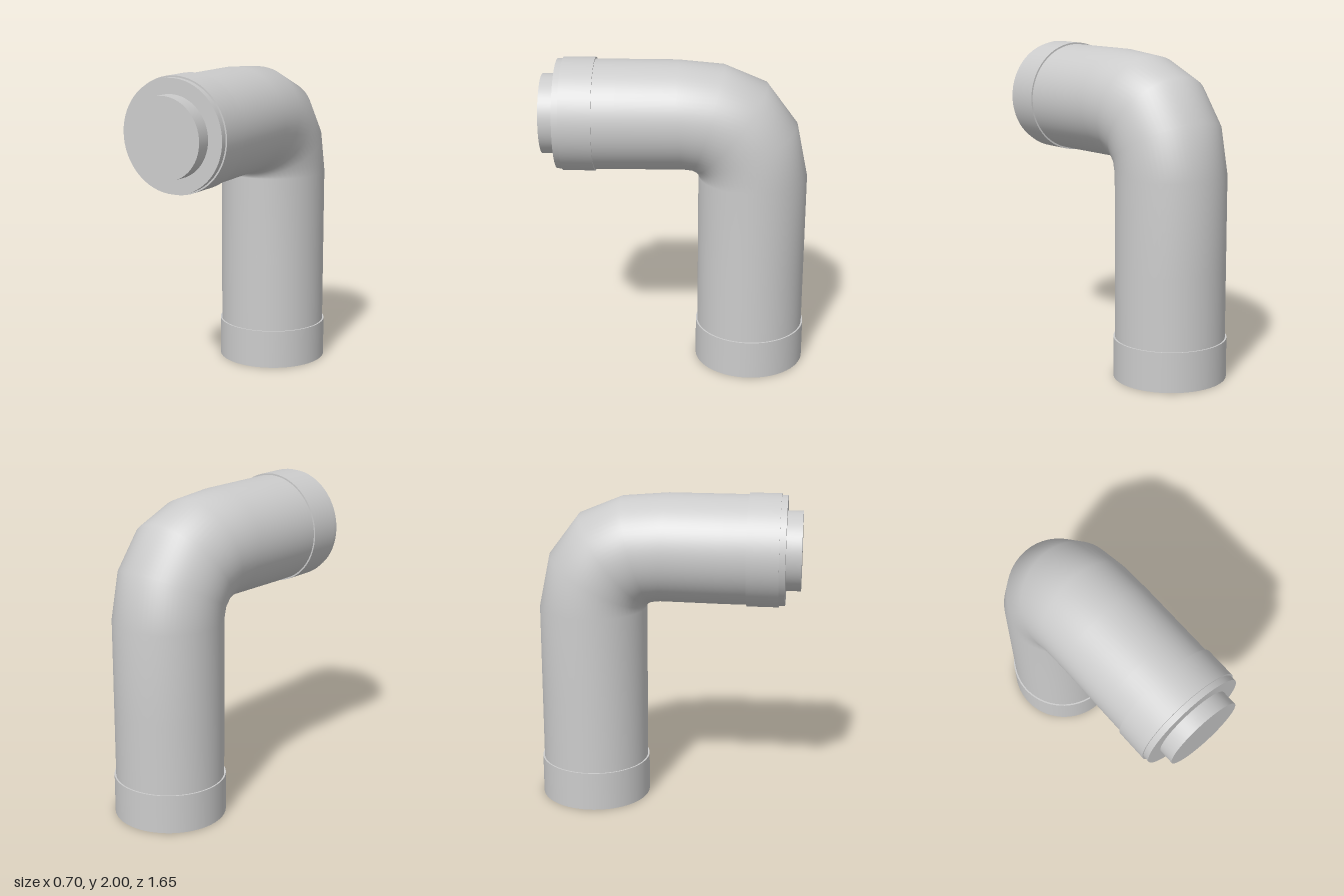
import * as THREE from 'three';

const RADIUS = 0.34, SIDES = 64, AXIS_Y = 1.65, LEG_Z = -0.475;

// Sweep elliptical rings; each ring is [outer z, outer y, inner z, inner y]
function sweptPipe(rings) {
  const positions = [], indices = [];
  rings.forEach(([oz, oy, iz, iy], i) => {
    for (let j = 0; j < SIDES; j++) {
      const a = (j / SIDES) * Math.PI * 2, c = Math.cos(a) / 2;
      positions.push(RADIUS * Math.sin(a), (oy + iy) / 2 + (oy - iy) * c, (oz + iz) / 2 + (oz - iz) * c);
      if (i === rings.length - 1) continue;
      const k = (j + 1) % SIDES, p = i * SIDES, q = p + SIDES;
      indices.push(p + j, p + k, q + j, p + k, q + k, q + j);
    }
  });
  const geometry = new THREE.BufferGeometry();
  geometry.setAttribute('position', new THREE.Float32BufferAttribute(positions, 3));
  geometry.setIndex(indices);
  geometry.computeVertexNormals();
  return geometry;
}

export function createModel() {
  const model = new THREE.Group();
  const material = new THREE.MeshStandardMaterial({ color: 0xcccccc });
  const add = (name, geometry) => {
    const mesh = new THREE.Mesh(geometry, material);
    mesh.name = name;
    model.add(mesh);
    return mesh;
  };
  // Closed cylinder along the horizontal arm, from z0 to z1
  const armCylinder = (name, radius, z0, z1) => {
    const geometry = new THREE.CylinderGeometry(radius, radius, z1 - z0, SIDES).rotateX(Math.PI / 2);
    add(name, geometry).position.set(0, AXIS_Y, (z0 + z1) / 2);
  };

  // Elbow pipe: horizontal arm, coarse bend with a tight inner corner, vertical leg
  add('elbowPipe', sweptPipe([
    [0.735, 1.99, 0.735, 1.31],
    [0.36, 1.99, 0.36, 1.31],
    [0, 1.99, -0.04, 1.315],
    [-0.29, 1.965, -0.095, 1.308],
    [-0.555, 1.855, -0.118, 1.295],
    [-0.745, 1.6, -0.131, 1.28],
    [-0.815, 1.265, -0.135, 1.265],
    [-0.815, 0.7, -0.135, 0.7],
    [-0.815, 0.1, -0.135, 0.1],
  ]));

  // Front end face, collar and plug
  add('frontFace', new THREE.CircleGeometry(RADIUS, SIDES)).position.set(0, AXIS_Y, 0.735);
  armCylinder('frontCollar', 0.35, 0.5, 0.697);
  armCylinder('frontPlug', 0.247, 0.7, 0.83);

  // Bottom collar
  add('bottomCollar', new THREE.CylinderGeometry(0.35, 0.35, 0.25, SIDES)).position.set(0, 0.125, LEG_Z);

  return model;
}
